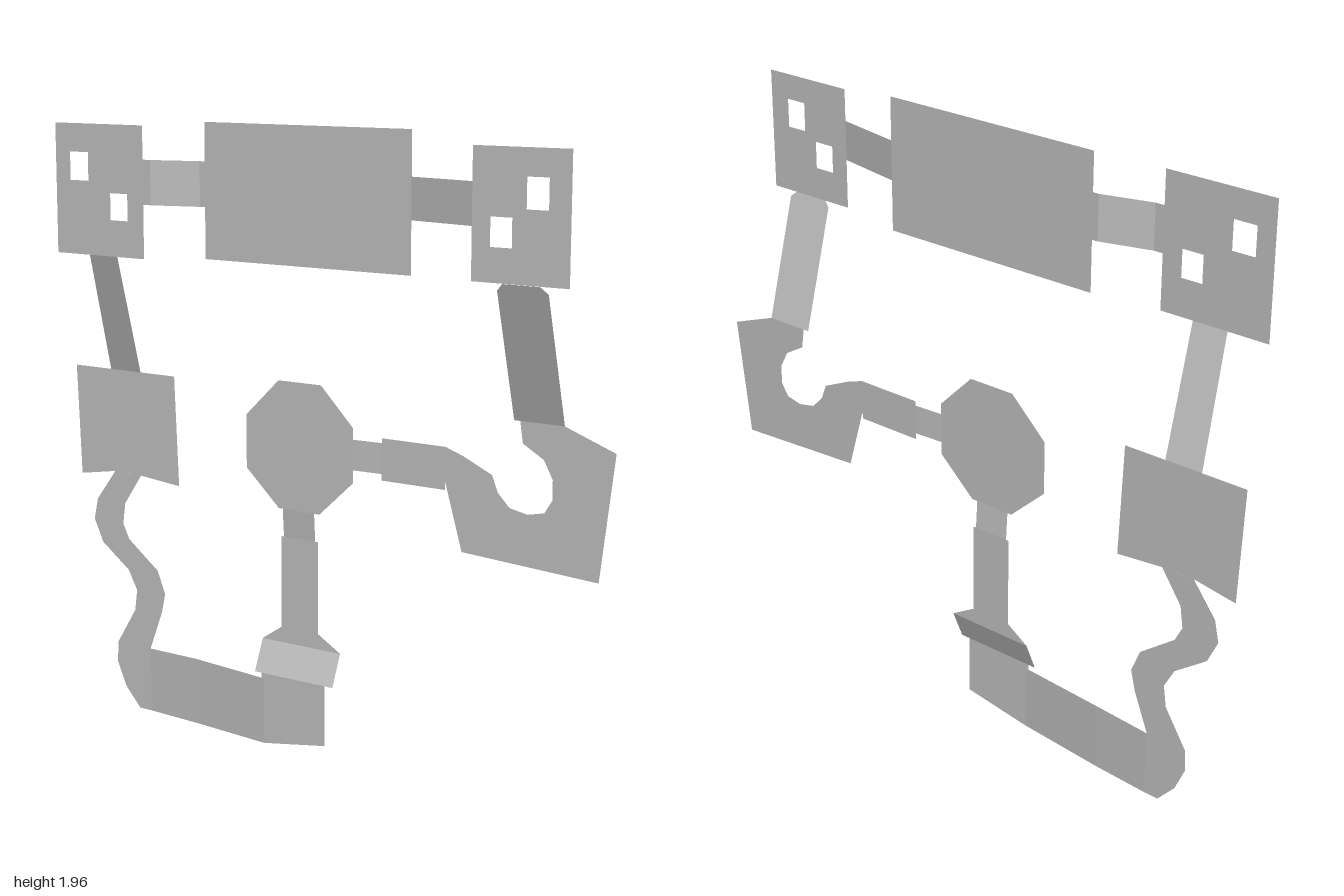
import * as THREE from 'three';

const FRONT = 0.055;   // depth of the two upper corner rooms
const HALL = 0.01;     // depth of the central hall
const BACK = -0.055;   // depth of the lower level
const HUB = -0.049;    // depth of the octagonal room

export function createModel() {
  const group = new THREE.Group();
  group.name = 'floorPlan';
  const grey = new THREE.MeshStandardMaterial({ color: 0xcccccc, side: THREE.DoubleSide });
  grey.name = 'plain grey';

  // Thin sheet from an outline; depth is a constant or a rule of x and y
  function sheet(name, outline, depth, holes = []) {
    const toPoints = list => list.map(([x, y]) => new THREE.Vector2(x, y));
    const shape = new THREE.Shape(toPoints(outline));
    for (const h of holes) shape.holes.push(new THREE.Path(toPoints(h)));
    const geo = new THREE.ShapeGeometry(shape);
    const p = geo.attributes.position;
    for (let i = 0; i < p.count; i++) {
      p.setZ(i, typeof depth === 'number' ? depth : depth(p.getX(i), p.getY(i)));
    }
    geo.computeVertexNormals();
    const mesh = new THREE.Mesh(geo, grey);
    mesh.name = name;
    group.add(mesh);
  }
  const rect = (x0, x1, y0, y1) => [[x0, y0], [x1, y0], [x1, y1], [x0, y1]];
  // Linear depth ramps along x or y
  const rampX = (x0, z0, x1, z1) => x => THREE.MathUtils.mapLinear(x, x0, x1, z0, z1);
  const rampY = (y0, z0, y1, z1) => (x, y) => THREE.MathUtils.mapLinear(y, y0, y1, z0, z1);

  // Upper rooms, with square pillar openings in the corner ones
  sheet('upperRightRoom', rect(-0.97, -0.61, 1.53, 1.945), FRONT,
    [rect(-0.91, -0.835, 1.765, 1.855), rect(-0.745, -0.675, 1.645, 1.73)]);
  sheet('upperLeftRoom', rect(0.585, 0.9, 1.545, 1.925), FRONT,
    [rect(0.76, 0.83, 1.755, 1.845), rect(0.645, 0.715, 1.645, 1.73)]);
  sheet('centralHall', rect(-0.4, 0.355, 1.54, 1.96), HALL);

  // Sloped passages joining the hall to the corner rooms, level at both ends
  sheet('hallPassageRight', rect(-0.58, -0.42, 1.7, 1.84), rampX(-0.58, FRONT, -0.42, HALL));
  sheet('hallPassageRightOuterEnd', rect(-0.61, -0.58, 1.7, 1.84), FRONT);
  sheet('hallPassageRightInnerEnd', rect(-0.42, -0.4, 1.7, 1.84), HALL);
  sheet('hallPassageLeft', rect(0.355, 0.585, 1.7, 1.825), rampX(0.355, HALL, 0.585, FRONT));

  // Long ramps down to the lower level
  sheet('rampRight', [[-0.85, 1.145], [-0.725, 1.145], [-0.72, 1.53], [-0.835, 1.53]],
    rampY(1.145, BACK, 1.53, FRONT));
  sheet('rampLeft', [[0.67, 1.14], [0.835, 1.14], [0.835, 1.525], [0.81, 1.545], [0.69, 1.545], [0.67, 1.525]],
    rampY(1.14, BACK, 1.525, FRONT));

  // Lower right room and the winding path below it
  sheet('lowerRightRoom', [[-0.985, 0.78], [-0.835, 0.805], [-0.73, 0.802], [-0.57, 0.787],
    [-0.585, 1.145], [-1, 1.145]], BACK);
  sheet('windingPath', [
    [-0.84, 0.805], [-0.92, 0.7], [-0.935, 0.63], [-0.9, 0.555], [-0.79, 0.475], [-0.755, 0.41],
    [-0.765, 0.34], [-0.84, 0.22], [-0.845, 0.15], [-0.81, 0.07], [-0.75, 0.003],
    [-0.7, 0.003], [-0.7, 0.22], [-0.65, 0.35], [-0.635, 0.415], [-0.665, 0.49],
    [-0.785, 0.58], [-0.81, 0.63], [-0.8, 0.7], [-0.73, 0.802]], BACK);

  // Bottom corridor rising gently toward the landing
  sheet('bottomCorridor', [[-0.7, 0.003], [-0.5, 0.003], [-0.5, 0.222], [-0.7, 0.218]],
    rampX(-0.7, BACK, -0.5, -0.042));
  sheet('bottomCorridorSlope', [[-0.5, 0.003], [-0.2, 0.003], [-0.2, 0.218], [-0.5, 0.222]],
    rampX(-0.5, -0.042, -0.2, -0.013));
  sheet('landing', [[-0.2, 0.003], [0.035, 0.04], [0.035, 0.235], [-0.21, 0.235], [-0.21, 0.218], [-0.2, 0.218]], -0.013);

  // Wide stair, funnel and straight corridor up to the octagonal room
  sheet('wideStair', rect(-0.235, 0.065, 0.235, 0.335), rampY(0.235, -0.013, 0.335, BACK));
  sheet('straightCorridor', [[-0.235, 0.335], [0.065, 0.335], [-0.02, 0.385], [-0.02, 0.68],
    [-0.16, 0.68], [-0.16, 0.385]], BACK);
  sheet('hubStep', rect(-0.15, -0.03, 0.68, 0.77), rampY(0.68, BACK, 0.77, HUB));
  sheet('octagonalRoom', [[-0.165, 0.77], [-0.01, 0.77], [0.115, 0.885], [0.115, 1.055],
    [-0.005, 1.175], [-0.165, 1.175], [-0.29, 1.055], [-0.29, 0.885]], HUB);
  sheet('hubPassage', rect(0.115, 0.215, 0.925, 1.02), rampX(0.115, HUB, 0.215, BACK));

  // Side corridor opening into the hooked room under the left ramp
  sheet('hookedRoom', [
    [0.215, 0.905], [0.44, 0.905], [0.44, 0.93], [0.5, 0.725], [0.955, 0.7], [1, 1.08], [0.835, 1.14],
    [0.69, 1.14], [0.7, 1.075], [0.77, 1.035], [0.8, 0.98], [0.8, 0.92], [0.775, 0.88], [0.72, 0.868],
    [0.66, 0.88], [0.62, 0.92], [0.6, 0.97], [0.5, 1.015], [0.44, 1.035], [0.215, 1.035]], BACK);

  return group;
}
